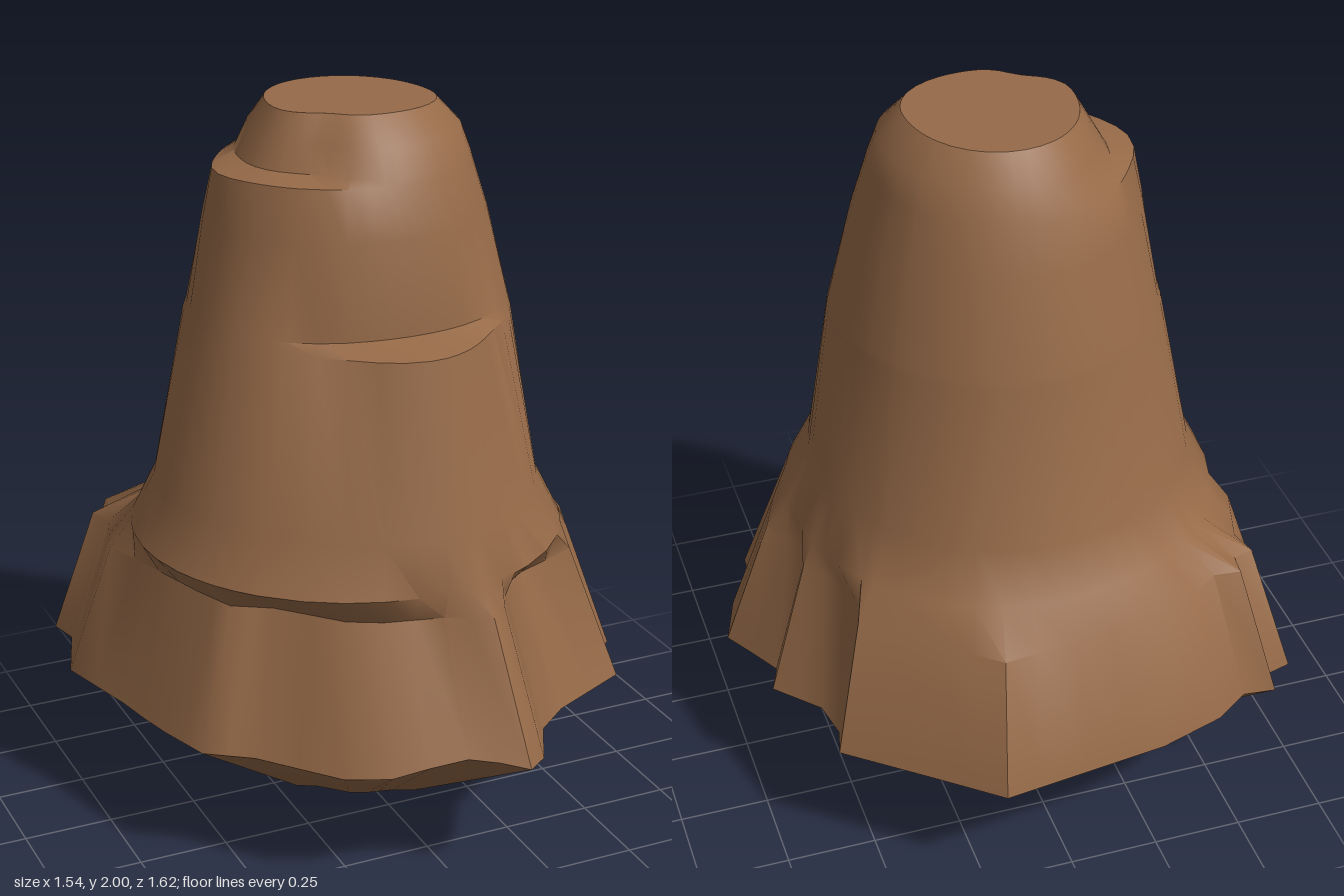
import * as THREE from 'three';
import { toCreasedNormals } from 'three/addons/utils/BufferGeometryUtils.js';

// Jagged outline of the widest level, as x, z corners running from +x to +z
const RIM = [
  [0.77, 0.07], [0.72, 0.22], [0.65, 0.27], [0.64, 0.41], [0.4, 0.52], [0.3, 0.6], [0.22, 0.75],
  [0.15, 0.81], [0, 0.74], [-0.2, 0.69], [-0.31, 0.63], [-0.48, 0.43], [-0.6, 0.35], [-0.65, 0.2],
  [-0.7, 0], [-0.77, -0.25], [-0.7, -0.45], [-0.72, -0.54], [-0.65, -0.56], [-0.64, -0.63],
  [-0.55, -0.62], [-0.45, -0.69], [-0.26, -0.75], [0.21, -0.81], [0.38, -0.67],
  [0.59, -0.5], [0.57, -0.42], [0.59, -0.31], [0.7, -0.19], [0.67, -0.11],
];

// Tower levels: height, radius at +x, +z, -x, -z, then front shelf and side knob amounts
const LEVELS = [
  [0.82, 0.575, 0.61, 0.625, 0.605, 0, 0],
  [0.96, 0.505, 0.535, 0.555, 0.54, 0.045, 0],
  [1.425, 0.44, 0.38, 0.46, 0.475, 0.11, 0],
  [1.45, 0.435, 0.36, 0.45, 0.47, 0, 0],
  [1.71, 0.365, 0.345, 0.39, 0.41, 0, 0.02],
  [1.84, 0.325, 0.3, 0.355, 0.37, 0, 0.03],
  [1.86, 0.32, 0.29, 0.305, 0.36, 0, 0],
  [1.93, 0.295, 0.255, 0.265, 0.335, 0, 0],
  [2, 0.23, 0.18, 0.225, 0.27, 0, 0],
];

const bump = (a, centre, width) => Math.exp(-(((a - centre) / width) ** 2));
const polar = (a, r, y) => [Math.cos(a) * r, y, Math.sin(a) * r];

// Spokes: each rim corner, plus midpoints along the longer edges
const spokes = [];
RIM.forEach(([x, z], i) => {
  const [x2, z2] = RIM[(i + 1) % RIM.length];
  const steps = Math.ceil(Math.hypot(x2 - x, z2 - z) / 0.14);
  for (let s = 0; s < steps; s++) {
    const px = THREE.MathUtils.lerp(x, x2, s / steps);
    const pz = THREE.MathUtils.lerp(z, z2, s / steps);
    const a = (Math.atan2(pz, px) + Math.PI * 2) % (Math.PI * 2);
    spokes.push({ x: px, z: pz, a, r: Math.hypot(px, pz) });
  }
});

// Blends the four side radii, then adds the shelf, the knob and the chipped top corner
function towerRing([y, right, front, left, back, shelf, knob]) {
  return spokes.map(({ a }) => {
    const c = Math.cos(a), s = Math.sin(a);
    let r = c * c * (c > 0 ? right : left) + s * s * (s > 0 ? front : back);
    r += shelf * bump(a, 1.55, 0.5) + knob * bump(a, 3.2, 0.35);
    if (y > 1.85) r -= 0.035 * bump(a, 2.4, 0.4);
    return polar(a, r, y);
  });
}

// Skins consecutive rings; a ring of one point closes the shape
function skin(rings) {
  const pos = [];
  const n = spokes.length;
  for (let k = 0; k < rings.length - 1; k++) {
    const lo = rings[k], up = rings[k + 1];
    for (let j = 0; j < n; j++) {
      const m = (j + 1) % n;
      if (up.length > 1) pos.push(...(lo[j] || lo[0]), ...up[j], ...up[m]);
      if (lo.length > 1) pos.push(...lo[j], ...(up[m] || up[0]), ...lo[m]);
    }
  }
  const g = new THREE.BufferGeometry();
  g.setAttribute('position', new THREE.Float32BufferAttribute(pos, 3));
  return toCreasedNormals(g, 0.75);
}

export function createModel() {
  const group = new THREE.Group();
  group.name = 'rock';
  const brown = new THREE.MeshStandardMaterial({ color: 0x966a48 });
  brown.name = 'brown stone';

  // Rim rises slightly at the middle of the front
  const rim = spokes.map(({ x, z }) =>
    [x, z > 0 ? 0.345 + 0.05 * bump(x, 0, 0.15) + 0.015 * Math.abs(x) : 0.36, z]);

  // Underside tapers to a shallow base with one low point at the back
  const base = spokes.map(({ a, r }) => {
    const tip = bump(a, 4.05, 0.12);
    return polar(a, r * (0.42 - 0.05 * Math.sin(a) + 0.06 * tip), 0.06 - 0.06 * tip);
  });
  // Settle the low point exactly on the ground
  const lowest = base.reduce((p, q) => (q[1] < p[1] ? q : p));
  lowest[1] = 0;

  // Craggy skirt between the rim and the lower ledge
  const ledge = spokes.map(({ a, r }) => polar(a, r * (0.83 - 0.04 * Math.sin(a)), 0.74));

  const parts = {
    underside: [[[0, 0.04, 0]], base, rim],
    body: [rim, ledge, ...LEVELS.map(towerRing), [[0, 2, -0.04]]],
  };
  for (const [name, rings] of Object.entries(parts)) {
    const mesh = new THREE.Mesh(skin(rings), brown);
    mesh.name = name;
    group.add(mesh);
  }
  return group;
}
